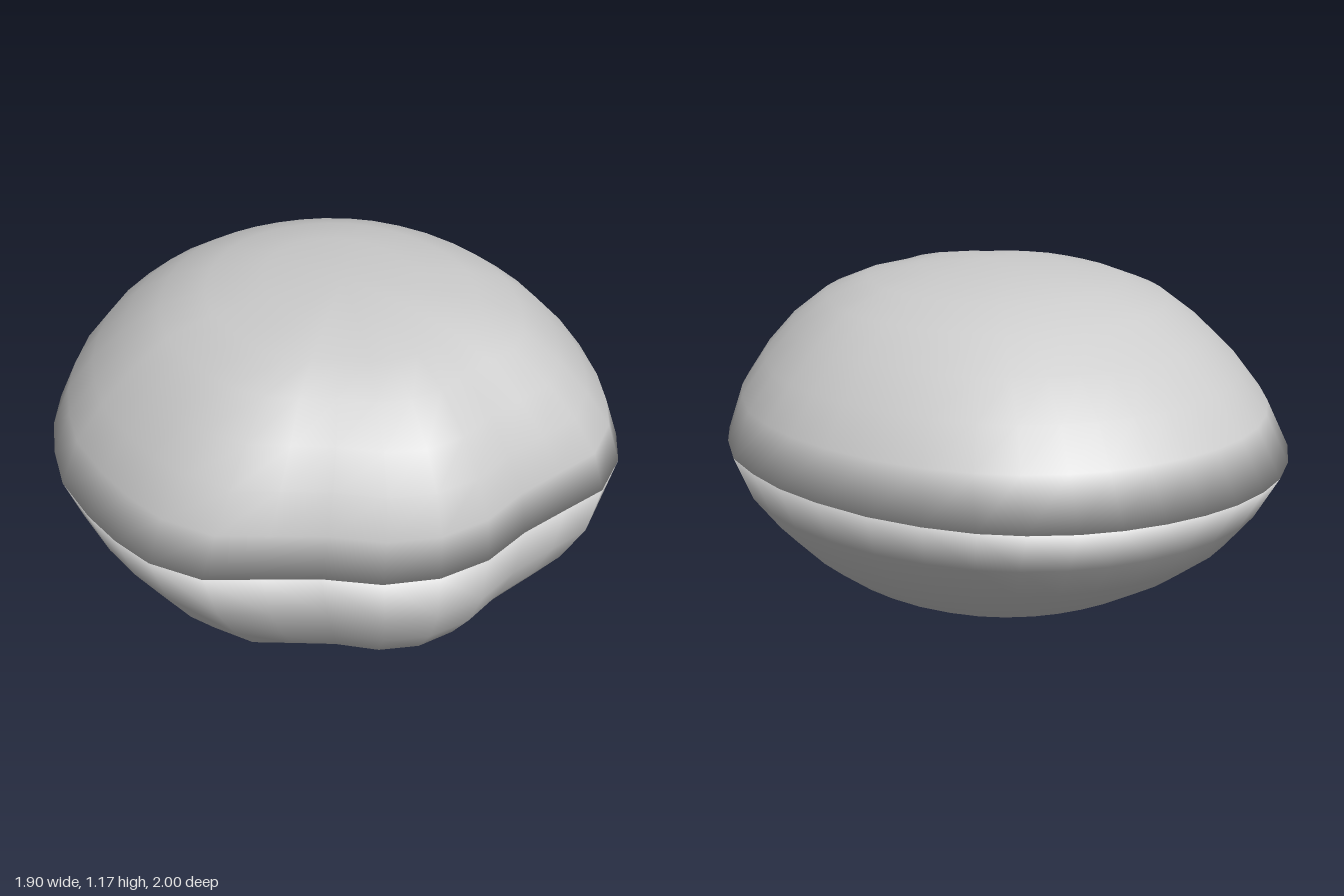
import * as THREE from 'three';
import { mergeVertices } from 'three/addons/utils/BufferGeometryUtils.js';

const SEAM = 0.583;   // height where the two valves meet
const APEX_Z = 0.17;  // highest point lies a little towards the front

// Half of the rim, from the back round the left side to the front fold: [x, z]
const HALF_RIM = [
  [0, -1], [0.14, -0.99], [0.27, -0.96], [0.41, -0.9], [0.53, -0.82], [0.65, -0.7],
  [0.76, -0.55], [0.85, -0.37], [0.91, -0.2], [0.94, -0.03], [0.95, 0.15], [0.91, 0.35],
  [0.86, 0.5], [0.79, 0.64], [0.66, 0.77], [0.5, 0.825], [0.33, 0.885], [0.17, 0.97], [0, 1],
];
const RIM = [...HALF_RIM, ...HALF_RIM.slice(1, -1).reverse().map(([x, z]) => [-x, z])];

// Rings from the hidden inner face over the rim to the apex:
// [height, width scale, back scale, front scale]
const RINGS = [
  [0, 0, 0, 0],
  [0, 0.8, 0.8, 0.8],
  [0, 1, 1, 1],
  [0.15, 0.937, 0.915, 0.995],
  [0.27, 0.842, 0.83, 0.935],
  [0.375, 0.737, 0.71, 0.84],
  [0.47, 0.61, 0.573, 0.69],
  [0.528, 0.453, 0.436, 0.53],
  [0.562, 0.26, 0.28, 0.31],
  [0.583, 0, 0, 0],
];

// One closed valve; side is 1 for the upper and -1 for the lower
function valveGeometry(side) {
  const positions = [];
  const indices = [];
  const n = RIM.length;
  RINGS.forEach(([h, sx, sBack, sFront], k) => {
    RIM.forEach(([x, z], i) => {
      const dz = z - APEX_Z;
      positions.push(x * sx, SEAM + side * h, APEX_Z + dz * (dz < 0 ? sBack : sFront));
      if (k === RINGS.length - 1) return;
      const a = k * n + i, b = k * n + (i + 1) % n;
      const c = a + n, d = b + n;
      if (side > 0) indices.push(a, c, b, b, c, d);
      else indices.push(a, b, c, b, d, c);
    });
  });
  const geometry = new THREE.BufferGeometry();
  geometry.setAttribute('position', new THREE.Float32BufferAttribute(positions, 3));
  geometry.setIndex(indices);
  const merged = mergeVertices(geometry, 1e-4); // joins the apex and centre points
  merged.computeVertexNormals();
  return merged;
}

export function createModel() {
  const model = new THREE.Group();
  model.name = 'shell';
  const shellGrey = new THREE.MeshStandardMaterial({ color: 0xcccccc });
  shellGrey.name = 'shellGrey';
  for (const [name, side] of [['upperValve', 1], ['lowerValve', -1]]) {
    const valve = new THREE.Mesh(valveGeometry(side), shellGrey);
    valve.name = name;
    model.add(valve);
  }
  return model;
}
